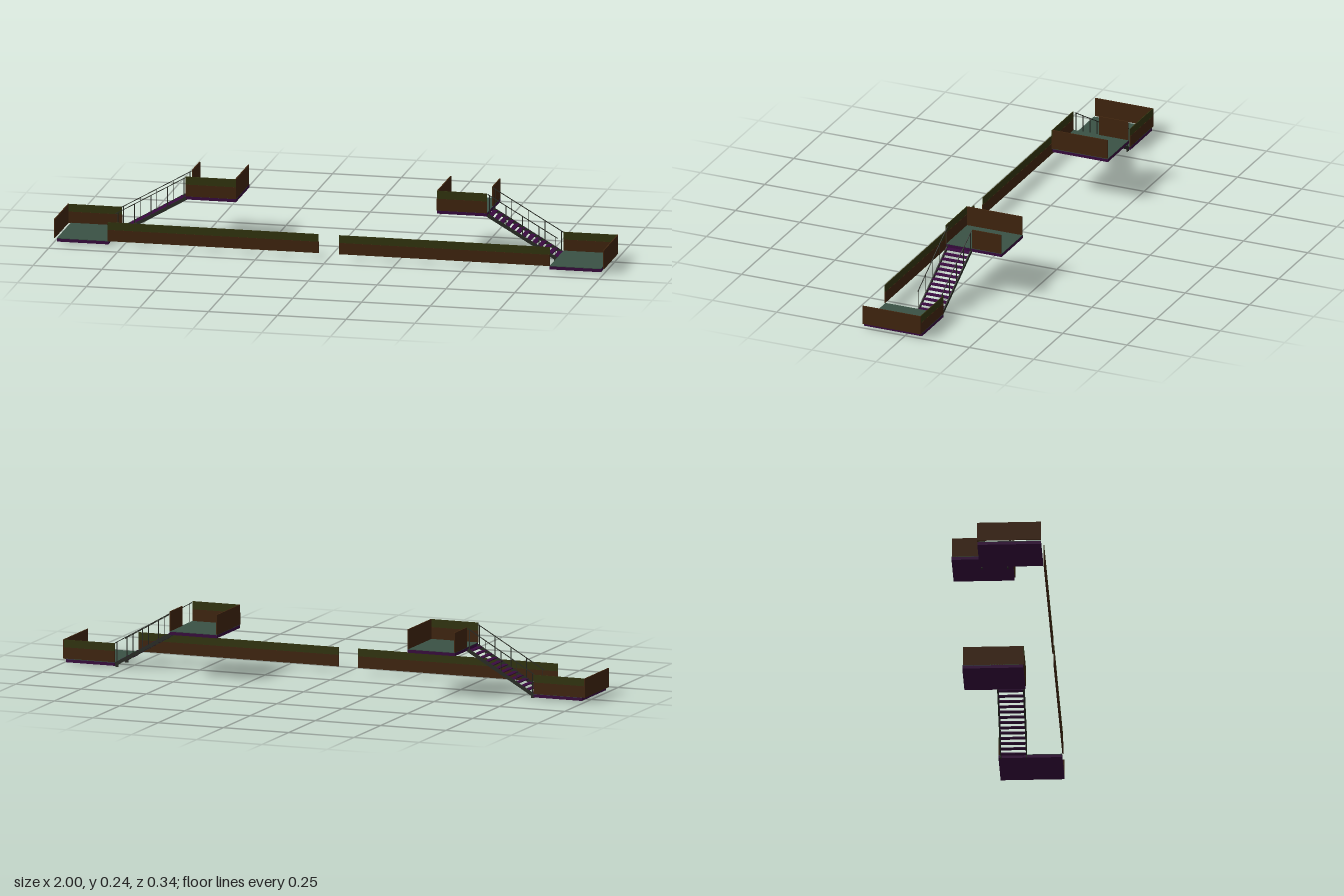
import * as THREE from 'three';

const mat = (name, color) => Object.assign(new THREE.MeshStandardMaterial({ color }), { name });

export function createModel() {
  const brown = mat('brown panel', 0x42260f);
  const olive = mat('olive band', 0x34360f);
  const green = mat('green floor', 0x3a5245);
  const purple = mat('purple underside', 0x3a0a40);
  const metal = mat('dark metal', 0x2a2d26);

  // Box given by its minimum and maximum on each axis
  function box(parent, name, m, [x0, x1], [y0, y1], [z0, z1]) {
    const mesh = new THREE.Mesh(new THREE.BoxGeometry(x1 - x0, y1 - y0, z1 - z0), m);
    mesh.position.set((x0 + x1) / 2, (y0 + y1) / 2, (z0 + z1) / 2);
    mesh.name = name;
    parent.add(mesh);
  }

  // Sloped bar in the xy plane
  function bar(parent, name, a, b, z, height, depth) {
    const dx = b[0] - a[0], dy = b[1] - a[1];
    const mesh = new THREE.Mesh(new THREE.BoxGeometry(Math.hypot(dx, dy), height, depth), metal);
    mesh.position.set((a[0] + b[0]) / 2, (a[1] + b[1]) / 2, z);
    mesh.rotation.z = Math.atan2(dy, dx);
    mesh.name = name;
    parent.add(mesh);
  }

  // Slab with a purple body and a green walking surface
  function floor(parent, name, xs, y, zs) {
    box(parent, name + 'Slab', purple, xs, [y, y + 0.011], zs);
    box(parent, name + 'Surface', green, xs, [y + 0.011, y + 0.013], zs);
  }

  // Two-tone parapet: thicker brown base, thinner olive band above
  function parapet(parent, name, xs, y0, y1, z) {
    const split = y0 + (y1 - y0) * 0.6;
    box(parent, name + 'Base', brown, xs, [y0, split], [z - 0.002, z + 0.002]);
    box(parent, name + 'Band', olive, xs, [split, y1], [z - 0.0013, z + 0.0013]);
  }

  function buildSide() {
    const side = new THREE.Group();

    // Long front wall
    parapet(side, 'frontWall', [0.037, 0.803], 0.017, 0.086, 0.1685);

    // Lower landing: closed at the back and outer side
    const lower = new THREE.Group();
    lower.name = 'lowerLanding';
    floor(lower, 'lowerFloor', [0.802, 0.988], 0.004, [-0.06, 0.166]);
    parapet(lower, 'lowerBackPanel', [0.802, 0.996], 0.016, 0.085, -0.058);
    box(lower, 'lowerOuterPanel', brown, [0.996, 1.0], [0.016, 0.085], [-0.06, 0.166]);
    side.add(lower);

    // Upper landing: closed in front and inside, half closed outside
    const upper = new THREE.Group();
    upper.name = 'upperLanding';
    floor(upper, 'upperFloor', [0.365, 0.547], 0.153, [-0.17, 0.046]);
    parapet(upper, 'upperFrontPanel', [0.365, 0.547], 0.165, 0.237, 0.047);
    box(upper, 'upperInnerPanel', brown, [0.365, 0.369], [0.165, 0.237], [-0.168, 0.046]);
    box(upper, 'upperOuterPanel', brown, [0.543, 0.547], [0.165, 0.237], [-0.168, -0.055]);
    side.add(upper);

    // Stairs with open treads
    const stairs = new THREE.Group();
    stairs.name = 'stairs';
    const top = [0.547, 0.156], bottom = [0.803, 0.008];
    const at = (t, dy = 0) => [
      top[0] + (bottom[0] - top[0]) * t,
      top[1] + (bottom[1] - top[1]) * t + dy,
    ];
    const treads = 13;
    for (let i = 0; i < treads; i++) {
      const [x, y] = at((i + 0.5) / treads);
      box(stairs, 'tread', purple, [x - 0.0092, x + 0.0092], [y, y + 0.003], [-0.051, 0.039]);
    }

    // Stringers, handrails and posts on both edges
    for (const z of [-0.052, 0.04]) {
      bar(stairs, 'stringer', top, bottom, z, 0.012, 0.004);
      bar(stairs, 'handrail', at(0, 0.077), at(1, 0.077), z, 0.0025, 0.0025);
      for (let i = 0; i <= 4; i++) {
        const [x, y] = at(0.03 + i * 0.235);
        box(stairs, 'railPost', metal, [x - 0.0012, x + 0.0012], [y, y + 0.077], [z - 0.0012, z + 0.0012]);
      }
      box(stairs, 'stairFoot', metal, [0.79, 0.802], [0, 0.014], [z - 0.002, z + 0.002]);
    }
    side.add(stairs);
    return side;
  }

  const model = new THREE.Group();
  model.name = 'walkways';
  const left = buildSide();
  left.name = 'leftWalkway';

  // The other side is the same set turned over in x
  const right = buildSide();
  right.name = 'rightWalkway';
  right.traverse((o) => {
    if (!o.isMesh) return;
    o.position.x *= -1;
    o.rotation.z *= -1;
  });
  model.add(left, right);
  return model;
}
